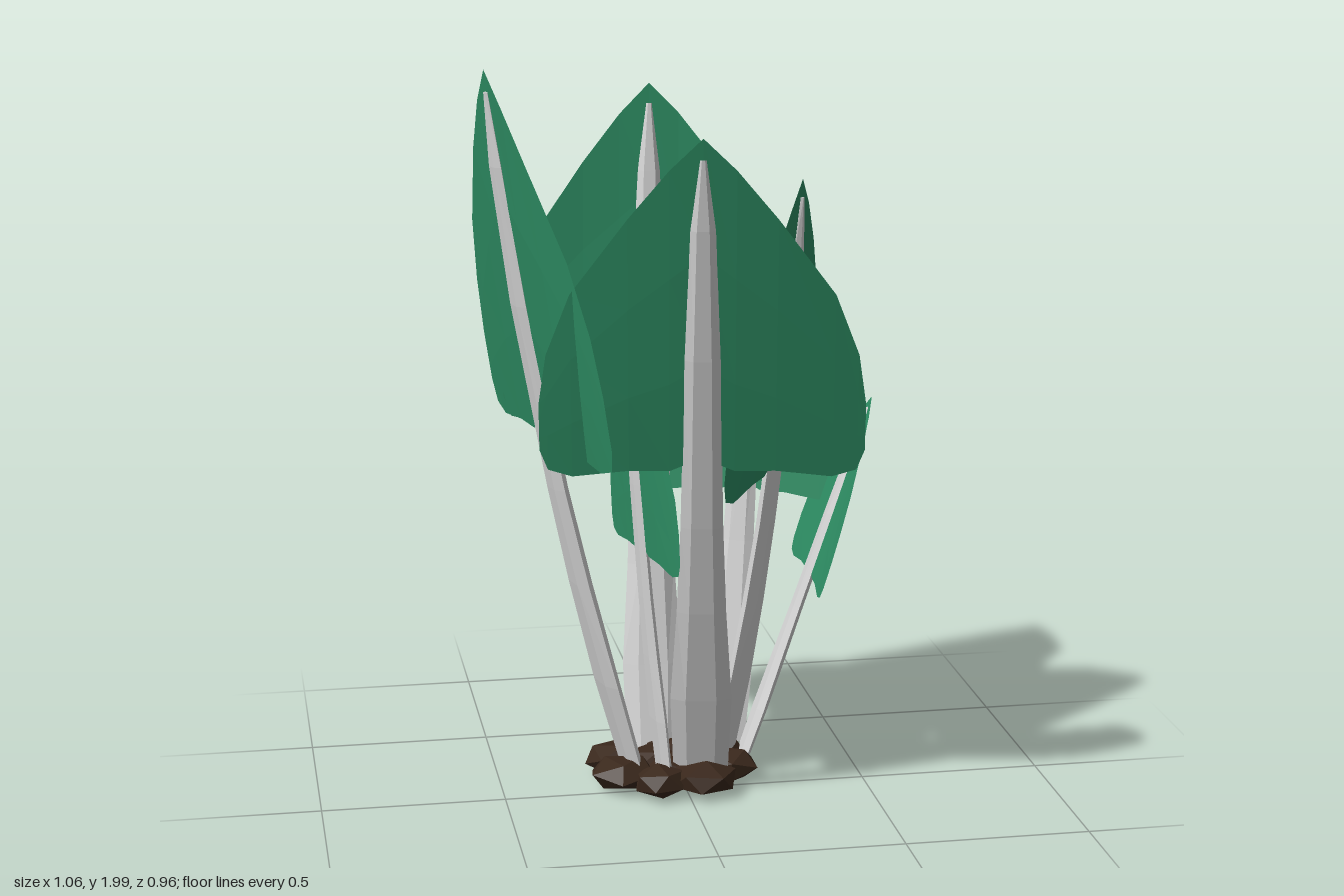
import * as THREE from 'three';
import { mergeGeometries } from 'three/addons/utils/BufferGeometryUtils.js';

const green = new THREE.MeshStandardMaterial({ color: 0x2e8e64, side: THREE.DoubleSide });
green.name = 'leaf green';
const pale = new THREE.MeshStandardMaterial({ color: 0xd6d6d6 });
pale.name = 'stalk grey';
const brown = new THREE.MeshStandardMaterial({ color: 0x3a281c });
brown.name = 'soil brown';

// Faceted surface from a grid of points
function gridGeometry(rows, capEnds = false) {
  const pos = [];
  const tri = (a, b, c) => pos.push(...a, ...b, ...c);
  for (let i = 0; i < rows.length - 1; i++) {
    for (let j = 0; j < rows[i].length - 1; j++) {
      const a = rows[i][j], b = rows[i][j + 1], c = rows[i + 1][j + 1], d = rows[i + 1][j];
      tri(a, b, c);
      tri(a, c, d);
    }
  }
  if (capEnds) {
    const first = rows[0], last = rows[rows.length - 1];
    for (let j = 1; j < first.length - 2; j++) {
      tri(first[0], first[j + 1], first[j]);
      tri(last[0], last[j], last[j + 1]);
    }
  }
  const geo = new THREE.BufferGeometry();
  geo.setAttribute('position', new THREE.Float32BufferAttribute(pos, 3));
  geo.computeVertexNormals();
  return geo;
}

// tip and base of the rib, horizontal direction across the blade,
// half width, height of the lower blade edge, stalk width factor
const leaves = [
  { name: 'frontLeaf', tip: [-0.04, 1.88, 0.48], base: [0.04, 0.06, 0.01], across: [0.985, 0.17], hw: 0.42, low: 0.97, stalk: 1 },
  { name: 'backLeaf', tip: [-0.02, 1.9, -0.47], base: [-0.06, 0.06, -0.18], across: [1, 0.03], hw: 0.41, low: 0.98, stalk: 1 },
  { name: 'rightLeaf', tip: [-0.525, 2, -0.02], base: [-0.14, 0.06, -0.07], across: [0.23, 0.97], hw: 0.45, low: 1.0, stalk: 1 },
  { name: 'leftLeaf', tip: [0.31, 1.7, 0.02], base: [0.13, 0.06, -0.12], across: [-0.49, 0.87], hw: 0.38, low: 0.88, stalk: 0.95 },
  { name: 'smallLeftLeaf', tip: [0.53, 1.08, -0.08], base: [0.19, 0.06, -0.13], across: [-0.05, 1], hw: 0.25, low: 0.57, stalk: 0.7 },
  { name: 'smallBackLeaf', tip: [0.27, 1.4, -0.41], base: [0.15, 0.06, -0.23], across: [0.9, 0.42], hw: 0.28, low: 0.75, stalk: 0.8 },
  { name: 'smallRightLeaf', tip: [-0.155, 1.27, -0.02], base: [-0.06, 0.06, 0], across: [0.185, 0.98], hw: 0.27, low: 0.68, stalk: 0.7 },
];

// Blade columns: position across, upper edge, lower edge
const half = [[0.2, 0.09, 0.98], [0.45, 0.23, 0.98], [0.8, 0.45, 1], [0.95, 0.63, 0.98], [1, 0.78, 0.92]];
const columns = [...half.map(([s, a, b]) => [-s, a, b]).reverse(), [0, 0, 0.94], ...half];

// Stalk rings: position along the rib, half width, half thickness
const rings = [[0, 0.075, 0.02], [0.13, 0.083, 0.022], [0.28, 0.066, 0.022], [0.42, 0.056, 0.02],
  [0.68, 0.046, 0.019], [0.87, 0.032, 0.016], [0.97, 0.008, 0.007]];
const section = [[1, 0], [0.5, 1], [-0.5, 1], [-1, 0], [-0.5, -1], [0.5, -1], [1, 0]];

// Reverses the corners of a closed surface whose volume is negative
function orientOutward(geo) {
  const p = geo.attributes.position;
  const v = [0, 1, 2].map(() => new THREE.Vector3());
  const read = (i) => v.forEach((q, k) => q.fromBufferAttribute(p, i + k));
  let volume = 0;
  for (let i = 0; i < p.count; i += 3) {
    read(i);
    volume += v[0].dot(v[1].clone().cross(v[2]));
  }
  if (volume < 0) {
    for (let i = 0; i < p.count; i += 3) {
      read(i);
      p.setXYZ(i + 1, v[2].x, v[2].y, v[2].z);
      p.setXYZ(i + 2, v[1].x, v[1].y, v[1].z);
    }
    geo.computeVertexNormals();
  }
  return geo;
}

function makeLeaf({ name, tip, base, across, hw, low, stalk }) {
  const group = new THREE.Group();
  group.name = name;
  const side = new THREE.Vector3(across[0], 0, across[1]).normalize();
  const out = new THREE.Vector3(side.z, 0, -side.x);
  if (out.x * (tip[0] - base[0]) + out.z * (tip[2] - base[2]) < 0) out.negate();
  const height = tip[1] - base[1];
  const from = new THREE.Vector3(...base), to = new THREE.Vector3(...tip);

  // Point beside the rib; taller ribs bow gently outward
  const at = (v, s, n) => from.clone().lerp(to, v)
    .addScaledVector(out, 0.18 * (height - 1) * v * (1 - v) + n)
    .addScaledVector(side, s).toArray();

  // Blade, almost flat, its edges cupped slightly inward
  const rows = [0, 0.35, 0.7, 1].map((f) => columns.map(([s, top, bottom]) => {
    const t = top + (bottom - top) * f;
    const cup = (0.08 * (1 - t) + 0.04) * hw * s * s;
    return at(1 - t * (tip[1] - low) / height, s * hw, -cup);
  }));
  const blade = new THREE.Mesh(gridGeometry(rows), green);
  blade.name = 'blade';

  // Flattened, tapering stalk running up through the blade
  const stalkRows = rings.map(([v, w, d]) =>
    section.map(([a, b]) => at(v, a * w * stalk, b * d * stalk)));
  const stem = new THREE.Mesh(orientOutward(gridGeometry(stalkRows, true)), pale);
  stem.name = 'stalk';
  group.add(blade, stem);
  return group;
}

// Flattened clods of soil: an outer ring and a filled middle
function makeSoil() {
  const parts = [];
  const clod = (x, z, r, turn) => {
    const g = new THREE.IcosahedronGeometry(1, 0);
    g.rotateX(turn * 1.3);
    g.rotateY(turn);
    g.scale(r, 0.047, r * 0.9);
    g.translate(x, 0.055, z);
    g.computeVertexNormals();
    parts.push(g);
  };
  for (let i = 0; i < 8; i++) {
    const a = (i / 8) * Math.PI * 2 + 0.35;
    clod(-0.025 + Math.cos(a) * 0.16, -0.095 + Math.sin(a) * 0.16, 0.09 + 0.012 * Math.sin(i * 2.4), i * 1.7);
  }
  for (let i = 0; i < 4; i++) {
    const a = (i / 4) * Math.PI * 2;
    clod(-0.02 + Math.cos(a) * 0.065, -0.1 + Math.sin(a) * 0.065, 0.09, i * 2.1 + 0.5);
  }
  const soil = new THREE.Mesh(mergeGeometries(parts), brown);
  soil.name = 'soil';
  return soil;
}

export function createModel() {
  const model = new THREE.Group();
  model.name = 'leafyPlant';
  leaves.forEach((leaf) => model.add(makeLeaf(leaf)));
  model.add(makeSoil());
  return model;
}
